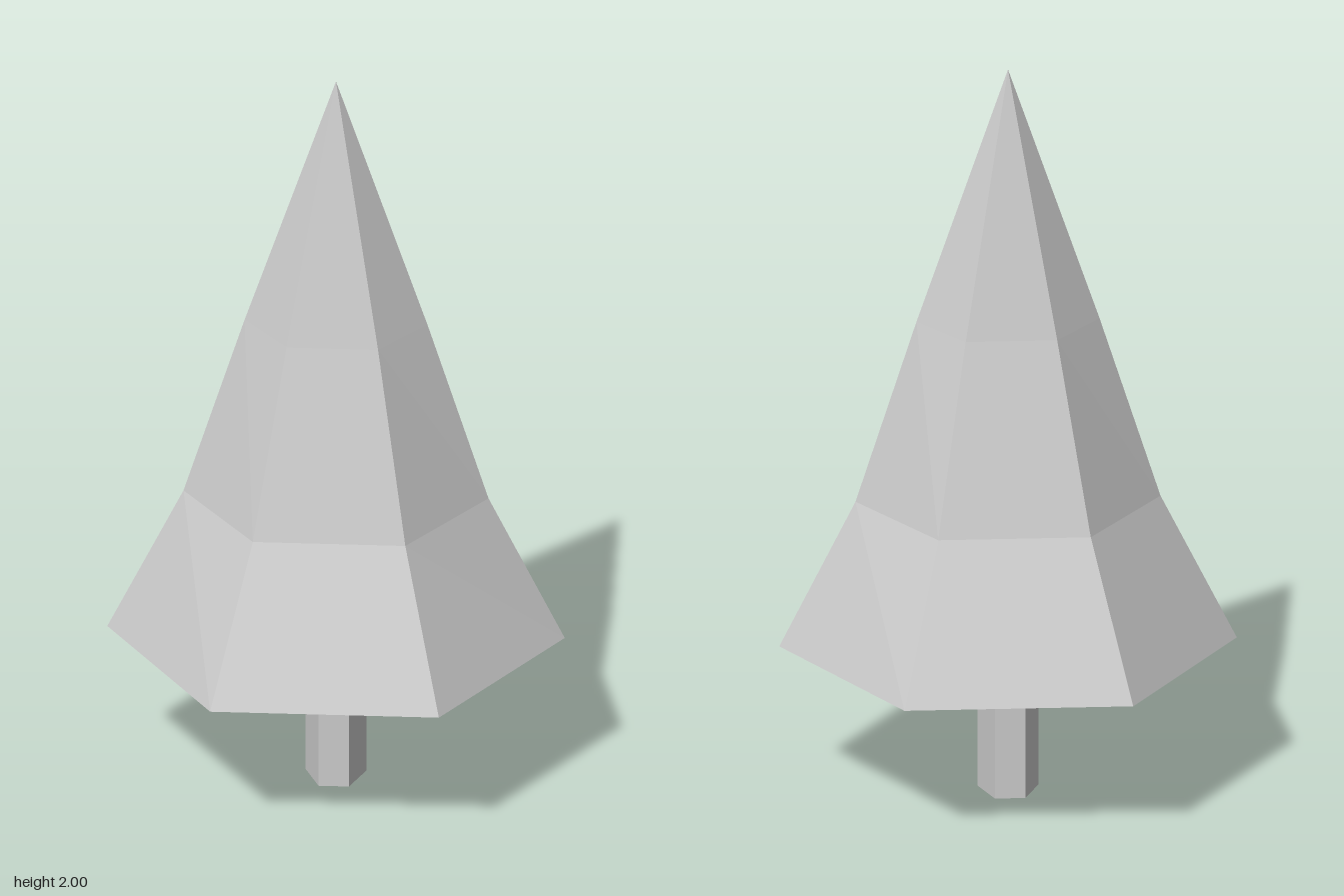
import * as THREE from 'three';

const material = new THREE.MeshStandardMaterial({
  color: 0xcccccc, flatShading: true, side: THREE.DoubleSide,
});

// Six-sided ring: half width w along x, half depth d along z
const ring = ([y, w, d]) => [
  [w, y, 0], [w / 2, y, d], [-w / 2, y, d],
  [-w, y, 0], [-w / 2, y, -d], [w / 2, y, -d],
];

// Open hexagonal shell through [y, w, d] sections listed from bottom to top
function hexShell(name, sections) {
  const rings = sections.map(ring);
  const positions = [];
  for (let k = 0; k < rings.length - 1; k++) {
    const low = rings[k], high = rings[k + 1];
    const isTip = sections[k + 1][1] === 0;
    for (let i = 0; i < 6; i++) {
      const j = (i + 1) % 6;
      positions.push(...low[i], ...high[j], ...low[j]);
      if (!isTip) positions.push(...low[i], ...high[i], ...high[j]);
    }
  }
  const geometry = new THREE.BufferGeometry();
  geometry.setAttribute('position', new THREE.Float32BufferAttribute(positions, 3));
  geometry.computeVertexNormals();
  const mesh = new THREE.Mesh(geometry, material);
  mesh.name = name;
  return mesh;
}

export function createModel() {
  const tree = new THREE.Group();
  tree.name = 'tree';
  // Flared foliage, open underneath
  tree.add(hexShell('foliage', [
    [0.4, 0.6, 0.5], [0.8, 0.4, 0.3], [1.3, 0.24, 0.16], [2, 0, 0],
  ]));
  // Straight hollow trunk
  tree.add(hexShell('trunk', [[0, 0.08, 0.1], [0.4, 0.08, 0.1]]));
  return tree;
}
